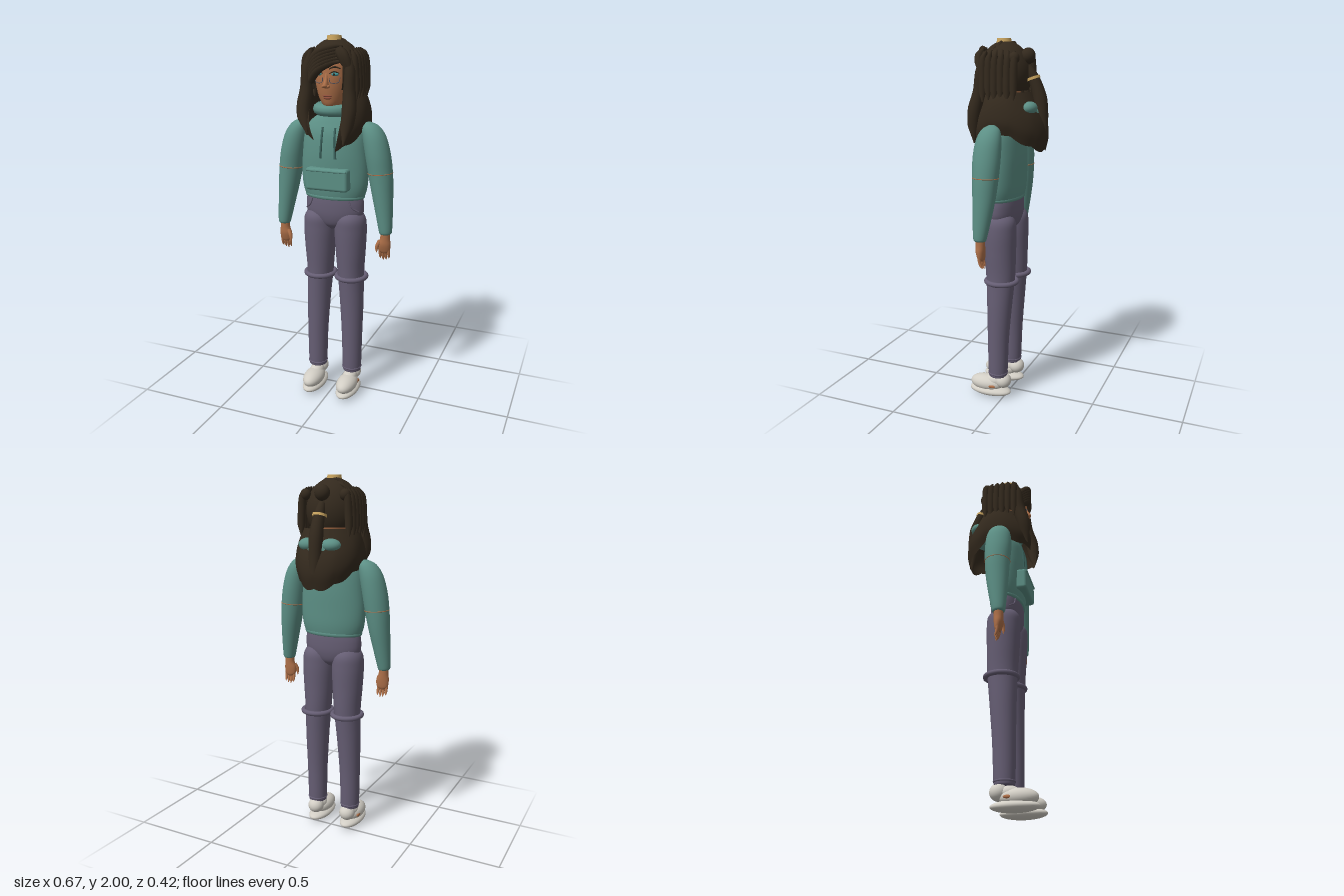
import * as THREE from 'three';
import { RoundedBoxGeometry } from 'three/addons/geometries/RoundedBoxGeometry.js';

const mat = (name, color, side = THREE.FrontSide) => {
  const m = new THREE.MeshStandardMaterial({ color, side });
  m.name = name;
  return m;
};
const V = (x, y, z) => new THREE.Vector3(x, y, z);

// Stack of ellipses, listed bottom to top as [x, y, z, rx, rz]
function loft(rows, sides = 32, steps = 6) {
  const mid = new THREE.CatmullRomCurve3(rows.map(r => V(r[0], r[1], r[2])), false, 'catmullrom');
  const rad = new THREE.CatmullRomCurve3(rows.map(r => V(r[3], r[4], 0)), false, 'catmullrom');
  const n = (rows.length - 1) * steps, pos = [], idx = [];
  for (let i = 0; i <= n; i++) {
    const c = mid.getPoint(i / n), r = rad.getPoint(i / n);
    for (let j = 0; j < sides; j++) {
      const a = j / sides * Math.PI * 2;
      pos.push(c.x + r.x * Math.cos(a), c.y, c.z + r.y * Math.sin(a));
    }
  }
  const lo = pos.length / 3, first = rows[0], last = rows[rows.length - 1];
  pos.push(first[0], first[1], first[2], last[0], last[1], last[2]);
  for (let j = 0; j < sides; j++) {
    const k = (j + 1) % sides;
    for (let i = 0; i < n; i++) {
      const a = i * sides + j, b = i * sides + k;
      idx.push(a, a + sides, b, b, a + sides, b + sides);
    }
    idx.push(lo, j, k, lo + 1, n * sides + k, n * sides + j);
  }
  const g = new THREE.BufferGeometry();
  g.setAttribute('position', new THREE.Float32BufferAttribute(pos, 3));
  g.setIndex(idx);
  g.computeVertexNormals();
  return g;
}

// Tube along points with a changing radius
function strand(points, radii, sides = 10, n = 20) {
  const curve = new THREE.CatmullRomCurve3(points.map(p => V(...p)));
  const g = new THREE.TubeGeometry(curve, n, 1, sides), p = g.attributes.position, v = V(0, 0, 0);
  for (let i = 0; i <= n; i++) {
    const c = curve.getPointAt(i / n), f = i / n * (radii.length - 1);
    const k = Math.min(Math.floor(f), radii.length - 2);
    const r = THREE.MathUtils.lerp(radii[k], radii[k + 1], f - k);
    for (let j = 0; j <= sides; j++) {
      const q = i * (sides + 1) + j;
      v.fromBufferAttribute(p, q).sub(c).multiplyScalar(r).add(c);
      p.setXYZ(q, v.x, v.y, v.z);
    }
  }
  return g;
}

// Hair falling around the shoulders, open in front, with a ragged lower edge
function hairMantle() {
  const profile = new THREE.CatmullRomCurve3([V(.145, 0, .125), V(.168, .25, .16), V(.18, .5, .195), V(.182, .75, .205), V(.165, 1, .19)]);
  const cols = 72, rows = 16, pos = [], idx = [];
  for (let i = 0; i <= rows; i++) {
    const t = i / rows, p = profile.getPoint(t);
    for (let j = 0; j <= cols; j++) {
      const gap = THREE.MathUtils.lerp(.66, .36, t), u = j / cols;
      const a = gap + u * (Math.PI * 2 - gap * 2);
      const front = Math.pow(Math.max(0, Math.cos(a)), 1.5), back = Math.pow(Math.max(0, -Math.cos(a)), 1.5);
      const low = 1.53 - front * (a < Math.PI ? .1 : .04) - back * .1 - .014 * Math.abs(Math.sin(a * 5));
      pos.push(p.x * Math.sin(a), THREE.MathUtils.lerp(1.73, low, t), p.z * Math.cos(a));
      if (i < rows && j < cols) {
        const q = i * (cols + 1) + j, w = q + cols + 1;
        idx.push(q, w, q + 1, q + 1, w, w + 1);
      }
    }
  }
  const g = new THREE.BufferGeometry();
  g.setAttribute('position', new THREE.Float32BufferAttribute(pos, 3));
  g.setIndex(idx);
  g.computeVertexNormals();
  return g;
}

export function createModel() {
  const root = new THREE.Group();
  const teal = mat('hoodie teal', 0x5c8f85), cord = mat('cord dark teal', 0x3c645e);
  const plum = mat('trouser plum', 0x665e74), hair = mat('hair dark brown', 0x33291d, THREE.DoubleSide);
  const skin = mat('skin', 0xae7049), lip = mat('lip', 0x8a4c3a), shoe = mat('shoe off white', 0xd2cec5);
  const gold = mat('gold', 0xc9a45f, THREE.DoubleSide), eye = mat('eye teal', 0x3f8f92), rim = mat('rim grey', 0x5d5860);
  const add = (name, geo, material, x = 0, y = 0, z = 0) => {
    const m = new THREE.Mesh(geo, material);
    m.name = name;
    m.position.set(x, y, z);
    root.add(m);
    return m;
  };
  const ball = (name, material, x, y, z, rx, ry, rz) =>
    add(name, new THREE.SphereGeometry(1, 28, 20).scale(rx, ry, rz), material, x, y, z);
  const ring = (name, material, x, y, z, rx, rz, tube) => {
    const g = new THREE.TorusGeometry(1, tube / rx, 10, 40).rotateX(Math.PI / 2).scale(rx, rx, rz);
    return add(name, g, material, x, y, z);
  };

  // Hoodie body, hem, pocket and hood
  add('hoodieBody', loft([[0, 1.15, .03, .15, .085], [0, 1.165, .03, .167, .092], [0, 1.22, .03, .183, .1], [0, 1.3, .03, .188, .103],
    [0, 1.4, .03, .182, .105], [0, 1.5, .028, .17, .098], [0, 1.56, .022, .14, .083], [0, 1.6, .02, .088, .066], [0, 1.62, .02, .062, .052]], 40), teal);
  ring('hem', teal, 0, 1.165, .03, .158, .088, .012);
  add('pocket', new RoundedBoxGeometry(.235, .12, .075, 4, .016), teal, 0, 1.27, .125);
  add('pocketLip', new RoundedBoxGeometry(.225, .012, .012, 3, .005), teal, 0, 1.318, .162);
  ring('hood', teal, 0, 1.625, -.02, .1, .12, .032);

  // Hips
  add('hips', loft([[0, .98, .03, .03, .04], [0, 1.01, .03, .11, .07], [0, 1.06, .03, .158, .085], [0, 1.12, .03, .165, .088], [0, 1.18, .03, .155, .084]]), plum);

  for (const s of [1, -1]) {
    ball('hoodFold', teal, s * .065, 1.65, -.126, .055, .035, .045);
    add('drawstring', strand([[s * .035, 1.54, .115], [s * .036, 1.48, .13], [s * .042, 1.38, .135]], [.006, .006, .007]), cord);

    // Sleeve and hand
    add('sleeve', loft([[s * .297, .98, .05, .03, .031], [s * .297, 1, .05, .036, .037], [s * .285, 1.1, .043, .047, .05], [s * .272, 1.2, .037, .057, .061],
      [s * .259, 1.3, .034, .065, .068], [s * .243, 1.4, .034, .067, .073], [s * .222, 1.49, .032, .062, .067], [s * .2, 1.545, .03, .046, .048],
      [s * .186, 1.568, .03, .015, .015]]), teal);
    ring('elbowSeam', skin, s * .258, 1.305, .034, .0645, .0675, .0025).rotation.z = s * .06;
    add('hand', loft([[s * .292, .87, .046, .016, .01], [s * .291, .885, .047, .032, .017], [s * .292, .92, .05, .035, .024], [s * .296, .955, .05, .027, .025], [s * .297, 1, .05, .025, .025]], 20), skin);
    for (let i = 0; i < 4; i++) {
      const x = .268 + i * .016, tip = .822 + Math.abs(i - 1.3) * .009;
      add('finger', strand([[s * x, .895, .05], [s * x, .86, .044], [s * x, tip, .034]], [.009, .009, .008, .007, .001], 8), skin);
    }
    add('thumb', strand([[s * .272, .94, .058], [s * .257, .91, .066], [s * .254, .872, .066]], [.013, .011, .009, .001], 8), skin);

    // Trouser leg, knee ring and cuff
    add('trouserLeg', loft([[s * .106, .135, .035, .046, .046], [s * .106, .15, .035, .053, .054], [s * .105, .35, .033, .058, .06], [s * .1, .55, .027, .066, .07],
      [s * .092, .72, .023, .073, .081], [s * .091, .86, .026, .083, .088], [s * .091, .98, .028, .088, .092], [s * .092, 1.05, .03, .077, .086], [s * .095, 1.1, .03, .03, .04]]), plum);
    ring('kneeRing', plum, s * .093, .7, .017, .081, .084, .014);
    ring('cuff', plum, s * .106, .15, .035, .05, .051, .006);
    add('pocketSeam', strand([[s * .105, 1.15, .098], [s * .12, 1.115, .094], [s * .15, 1.09, .07]], [.004, .004]), plum);

    // Shoe
    ball('sole', shoe, s * .103, .03, .085, .061, .03, .125);
    ball('shoeUpper', shoe, s * .103, .072, .105, .056, .047, .1);
    ball('shoeHeel', shoe, s * .103, .1, .005, .046, .044, .046);
    ball('shoeTongue', shoe, s * .103, .095, .06, .04, .036, .055);
    ball('footSide', skin, s * .15, .07, .062, .007, .009, .025);

    // Eye, brow and rim
    ball('eyeball', eye, s * .041, 1.812, .136, .022, .009, .012);
    ball('pupil', hair, s * .041, 1.812, .146, .006, .006, .004);
    add('lashLine', strand([[s * .018, 1.815, .15], [s * .04, 1.825, .147], [s * .066, 1.817, .132]], [.002, .004, .002], 6), hair);
    add('brow', strand([[s * .016, 1.838, .148], [s * .042, 1.848, .14], [s * .07, 1.838, .122]], [.003, .005, .002], 6), hair);
    add('rim', strand([[s * .018, 1.795, .152], [s * .022, 1.773, .151], [s * .045, 1.768, .146], [s * .064, 1.776, .135], [s * .068, 1.797, .131]], [.002, .002], 6), rim);
    ball('nostril', skin, s * .012, 1.752, .154, .01, .009, .012);

    // Hanging side strands and the lock beside the face
    for (let i = 0; i < 6; i++) {
      const z = .1 - i * .034, w = Math.sqrt(1 - ((z - .02) / .16) ** 2), x = .1 + .045 * w;
      add('sideStrand', strand([[s * (x - .03), 1.94 - .03 * (1 - w), z * .9], [s * (x - .01), 1.9, z], [s * x, 1.8, z], [s * (x + .003), 1.68 + .012 * (i % 2), z]],
        [.004, .019, .021, .021, .02, .004], 10), hair);
    }
    ball('smallBun', hair, s * .115, 1.9, -.065, .028, .03, .028);
    add('faceLock', strand([[s * .1, 1.93, .1], [s * .117, 1.83, .12], [s * .118, 1.73, .13], [s * .125, 1.62, .155], [s * .1, s > 0 ? 1.46 : 1.51, .17]],
      [.012, .028, .032, .038, .034, .003], 12, 28), hair);
  }

  // Neck, head, nose and mouth
  add('neck', loft([[0, 1.56, .02, .055, .05], [0, 1.63, .02, .047, .047], [0, 1.72, .025, .05, .05]]), skin);
  add('head', loft([[0, 1.635, .065, .015, .02], [0, 1.65, .06, .045, .06], [0, 1.69, .05, .073, .085], [0, 1.75, .045, .09, .102],
    [0, 1.81, .043, .098, .106], [0, 1.88, .04, .092, .1], [0, 1.94, .035, .03, .04]]), skin);
  add('nose', loft([[0, 1.742, .15, .006, .006], [0, 1.752, .153, .015, .022], [0, 1.765, .151, .013, .023], [0, 1.79, .147, .009, .012], [0, 1.82, .142, .006, .006]], 16), skin);
  ball('upperLip', lip, 0, 1.703, .134, .026, .006, .009);
  ball('lowerLip', lip, 0, 1.692, .133, .021, .007, .009);

  // Hair cap: full dome above, open in front below
  const cap = (name, gap, t0, t1) => add(name, new THREE.SphereGeometry(1, 48, 24, Math.PI / 2 + gap, Math.PI * 2 - gap * 2, t0 * Math.PI, (t1 - t0) * Math.PI)
    .scale(.145, .166, .14), hair, 0, 1.82, .03);
  cap('hairDome', 0, 0, .36);
  cap('hairBack', .64, .35, .67);
  add('hairMantle', hairMantle(), hair);

  // Swept fringe, lowest strand last
  for (let i = 0; i < 6; i++) {
    const d = i * .015;
    add('fringe', strand([[.075, 1.95 - d, .115 + d * .3], [.03, 1.945 - d, .148], [-.03, 1.925 - d * 1.1, .16], [-.085, 1.87 - d * 1.1, .135], [-.12, 1.8 - d, .1]],
      [.006, .02, .022, .02, .005]), hair);
  }
  for (let i = 0; i < 3; i++)
    add('sideFringe', strand([[.03 + i * .015, 1.95, .125], [.075 + i * .01, 1.905, .14], [.103 + i * .01, 1.83, .125]], [.006, .022, .02, .004]), hair);

  // Twisted crown strands
  for (let k = 0; k < 2; k++) {
    const pts = [];
    for (let i = 0; i <= 16; i++) {
      const t = i / 16, a = t * 14 + k * Math.PI, x = -.11 + t * .2, z = -.03 + t * .085 + Math.cos(a) * .008;
      const y = 1.82 + .163 * Math.sqrt(1 - (x / .15) ** 2 - ((z - .03) / .15) ** 2);
      pts.push([x, y - .006 + Math.sin(a) * .006, z]);
    }
    add('crownTwist', strand(pts, [.005, .012, .012, .005], 8, 48), hair);
  }

  // Bun, ponytail and gold bands
  ball('backBun', hair, 0, 1.91, -.097, .041, .042, .038);
  add('ponytail', strand([[0, 1.86, -.095], [0, 1.8, -.128], [0, 1.7, -.163], [0, 1.58, -.176], [0, 1.43, -.185]], [.02, .031, .037, .035, .028, .003], 16, 30), hair);
  add('ponytailBand', new THREE.CylinderGeometry(.038, .038, .014, 32, 1, true), gold, 0, 1.797, -.125).rotation.x = .35;
  add('crownBand', new THREE.CylinderGeometry(.036, .04, .024, 32, 1, true), gold, 0, 1.988, .038);
  return root;
}
